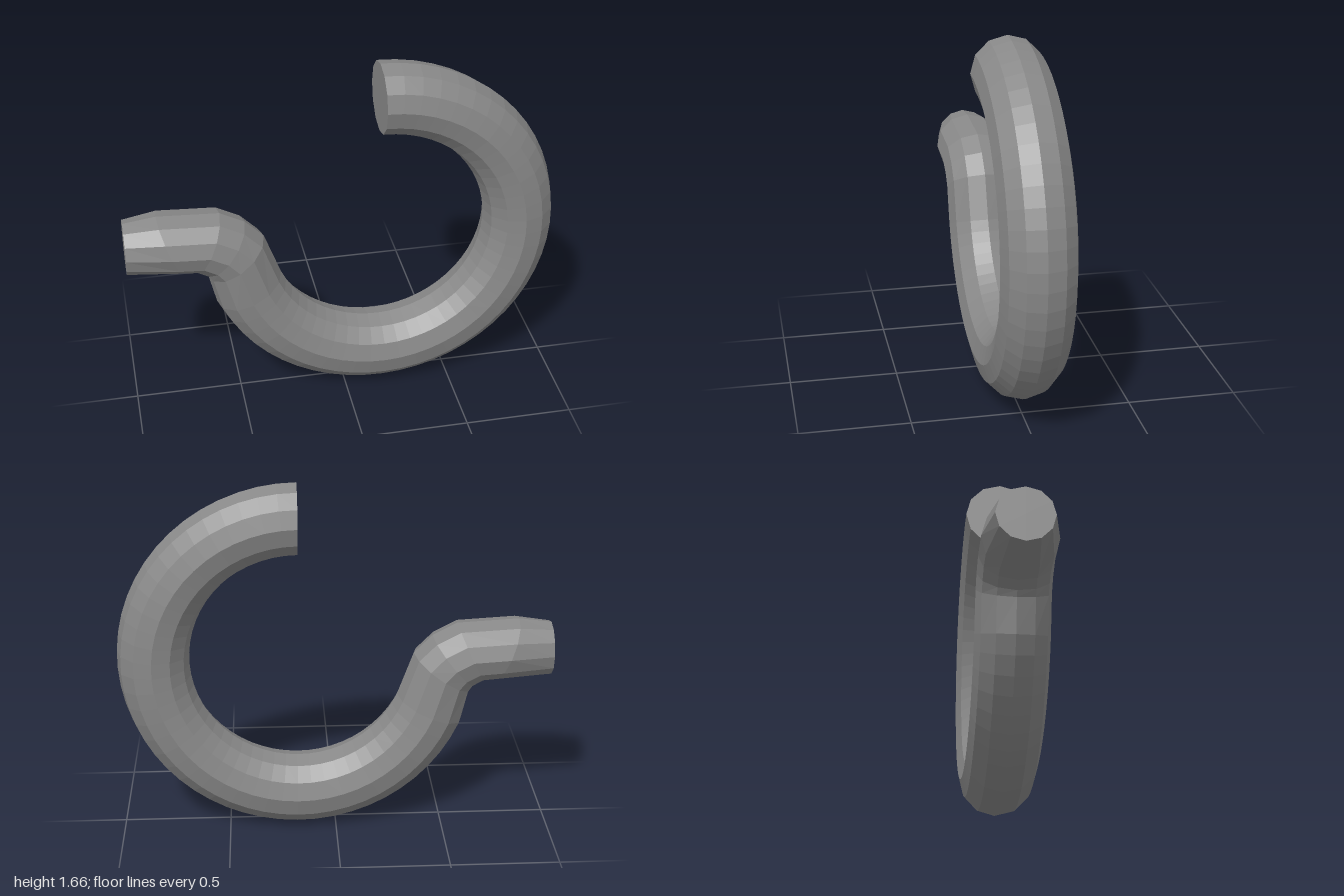
import * as THREE from 'three';

const SIDES = 12, RADIUS = 0.165;

// Each ring: centre (x, y), in-plane half axis (hx, hy) and half depth in z
function hookRings() {
  const rings = [];
  // Round bow of the hook, clockwise from the tip
  const steps = 40, sweep = 247;
  for (let i = 0; i <= steps; i++) {
    const a = THREE.MathUtils.degToRad(90 - (sweep * i) / steps);
    const c = Math.cos(a), s = Math.sin(a);
    rings.push({ x: 0.17 + 0.665 * c, y: 0.83 + 0.665 * s, hx: RADIUS * c, hy: RADIUS * s, d: RADIUS });
  }
  // Bend and tapering shank: outer (lower) point, inner (upper) point, half depth
  const shank = [
    [-0.63, 0.66, -0.365, 0.84, RADIUS],
    [-0.645, 0.685, -0.45, 0.925, RADIUS],
    [-0.69, 0.71, -0.563, 0.984, RADIUS],
    [-0.74, 0.715, -0.85, 1.0, RADIUS],
    [-1, 0.73, -1, 0.98, 0.125],
  ];
  for (const [ox, oy, ix, iy, d] of shank) {
    rings.push({ x: (ox + ix) / 2, y: (oy + iy) / 2, hx: (ox - ix) / 2, hy: (oy - iy) / 2, d });
  }
  return rings;
}

// Skin the rings and close both ends
function loft(rings) {
  const pos = [], index = [];
  for (const r of rings) {
    for (let j = 0; j < SIDES; j++) {
      const a = (j / SIDES) * Math.PI * 2;
      pos.push(r.x + r.hx * Math.cos(a), r.y + r.hy * Math.cos(a), r.d * Math.sin(a));
    }
  }
  const last = rings.length - 1, first = pos.length / 3;
  pos.push(rings[0].x, rings[0].y, 0, rings[last].x, rings[last].y, 0);
  for (let j = 0; j < SIDES; j++) {
    const k = (j + 1) % SIDES;
    for (let i = 0; i < last; i++) {
      const a = i * SIDES + j, b = i * SIDES + k;
      index.push(a, b, b + SIDES, a, b + SIDES, a + SIDES);
    }
    index.push(first, k, j);
    index.push(first + 1, last * SIDES + j, last * SIDES + k);
  }
  const indexed = new THREE.BufferGeometry();
  indexed.setAttribute('position', new THREE.Float32BufferAttribute(pos, 3));
  indexed.setIndex(index);
  const geometry = indexed.toNonIndexed();
  geometry.computeVertexNormals();
  return geometry;
}

export function createModel() {
  const group = new THREE.Group();
  group.name = 'hook';
  // Dark grey metal
  const material = new THREE.MeshStandardMaterial({ color: 0x888888, flatShading: true });
  const hook = new THREE.Mesh(loft(hookRings()), material);
  hook.name = 'curvedHook';
  group.add(hook);
  return group;
}
